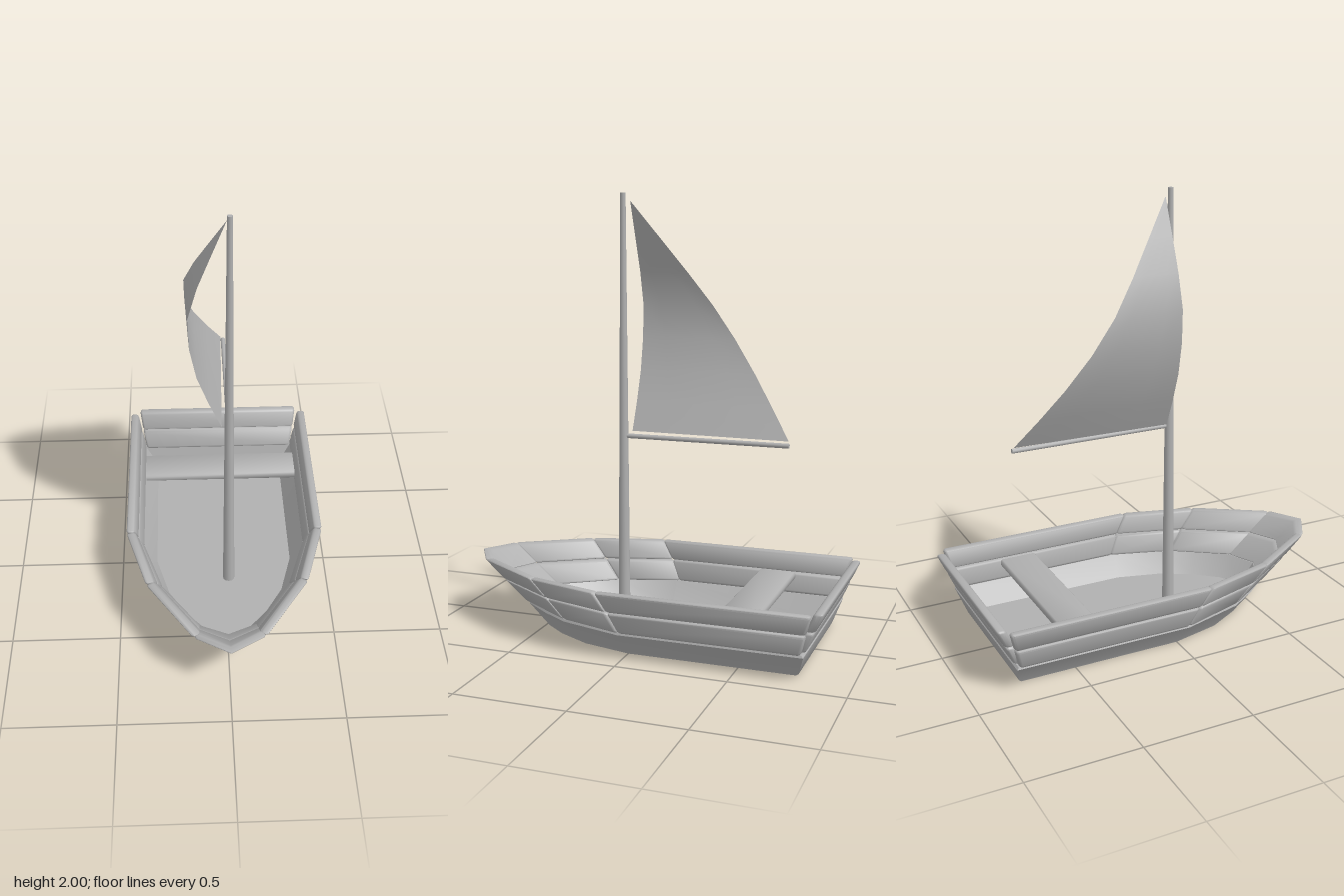
import * as THREE from 'three';
import { toCreasedNormals } from 'three/addons/utils/BufferGeometryUtils.js';

const V = (x, y, z) => new THREE.Vector3(x, y, z);
const lerp = (a, b, t) => a.clone().lerp(b, t);

// Skin a list of closed rings, cap both ends and turn all faces outward
function loft(rings, crease) {
  const tris = [];
  const n = rings[0].length;
  for (let r = 0; r < rings.length - 1; r++) {
    for (let i = 0; i < n; i++) {
      const j = (i + 1) % n;
      const [a, b, c, d] = [rings[r][i], rings[r][j], rings[r + 1][j], rings[r + 1][i]];
      tris.push([a, b, c], [a, c, d]);
    }
  }
  const cap = (ring, flip) => {
    const mid = ring.reduce((s, p) => s.add(p), V(0, 0, 0)).divideScalar(n);
    for (let i = 0; i < n; i++) {
      const a = ring[i], b = ring[(i + 1) % n];
      tris.push(flip ? [mid, b, a] : [mid, a, b]);
    }
  };
  cap(rings[0], true);
  cap(rings[rings.length - 1], false);
  const volume = tris.reduce((s, [a, b, c]) => s + a.dot(b.clone().cross(c)), 0);
  const points = tris.flatMap(([a, b, c]) => (volume < 0 ? [a, c, b] : [a, b, c]));
  return toCreasedNormals(new THREE.BufferGeometry().setFromPoints(points), crease);
}

// Rounded plank section between a lower and an upper outer point
function section({ low, high, inward }, inset) {
  const H = low.distanceTo(high), T = 0.042, r = 0.014;
  const ring = [];
  [[1, 1], [1, 0], [0, 0], [0, 1]].forEach(([top, inner], k) => {
    for (let s = 0; s < 4; s++) {
      const a = (k + s / 3) * Math.PI / 2;
      const h = (top ? H - r : r) + (r - inset) * Math.sin(a);
      const t = (inner ? T - r : r) + (r - inset) * Math.cos(a);
      ring.push(lerp(low, high, h / H).addScaledVector(inward, t));
    }
  });
  return ring;
}

// Plank through two or more stations with softened ends
function plank(stations) {
  const last = stations.length - 1;
  const along = (a, b, d) => {
    const t = d / a.low.distanceTo(b.low);
    return { low: lerp(a.low, b.low, t), high: lerp(a.high, b.high, t), inward: a.inward };
  };
  const ends = [[0.002, 0.011], [0.006, 0.004], [0.014, 0]];
  const start = ends.map(([d, inset]) => section(along(stations[0], stations[1], d), inset));
  const finish = ends.map(([d, inset]) => section(along(stations[last], stations[last - 1], d), inset)).reverse();
  const middle = stations.slice(1, last).map((s) => section(s, 0));
  return loft([...start, ...middle, ...finish], 0.8);
}

export function createModel() {
  const boat = new THREE.Group();
  boat.name = 'sailboat';
  const grey = new THREE.MeshStandardMaterial({ color: 0xb0b0b0 });
  grey.name = 'grey';
  const greySail = new THREE.MeshStandardMaterial({ color: 0xb0b0b0, side: THREE.DoubleSide });
  greySail.name = 'grey sail';
  const add = (name, geometry, material = grey) => {
    const mesh = new THREE.Mesh(geometry, material);
    mesh.name = name;
    boat.add(mesh);
    return mesh;
  };

  // Lower hull: a thin tub with outer skin, rim, inner slope and floor
  const bottom = [[0.34, -0.765], [0.34, 0], [0.285, 0.23], [0.2, 0.385], [0.11, 0.495], [0, 0.55]];
  const rim = [[0.42, -0.8], [0.42, 0.02], [0.335, 0.31], [0.25, 0.44], [0.15, 0.565], [0, 0.63]];
  const innerRim = [[0.393, -0.775], [0.393, 0.025], [0.315, 0.295], [0.235, 0.42], [0.135, 0.545], [0, 0.605]];
  const floor = [[0.33, -0.745], [0.33, 0.02], [0.272, 0.235], [0.19, 0.375], [0.1, 0.48], [0, 0.53]];
  const outline = (pts, y, s = 1) => [
    ...pts.map(([x, z]) => V(x * s, y, z * s)),
    ...pts.slice(0, -1).reverse().map(([x, z]) => V(-x * s, y, z * s)),
  ];
  add('lowerHull', loft([
    outline(bottom, 0, 0.985), outline(bottom, 0.01), outline(rim, 0.11), outline(rim, 0.12, 0.99),
    outline(innerRim, 0.12), outline(floor, 0.022),
  ], 0.6));

  // Joints between planks at three heights, from the stern corner to the bow
  const heights = [0.118, 0.215, 0.305];
  const joints = [
    [[0.43, -0.79], [0.453, -0.815], [0.471, -0.84]],
    [[0.43, 0.015], [0.455, 0.06], [0.471, 0.113]],
    [[0.337, 0.31], [0.357, 0.387], [0.373, 0.462]],
    [[0.157, 0.575], [0.16, 0.69], [0.16, 0.793]],
  ];
  const bowTip = [[0, 0.645], [0, 0.772], [0, 0.89]];
  const sternCorner = [[0.39, -0.8], [0.408, -0.842], [0.422, -0.883]];
  const names = ['sidePlank', 'shoulderPlank', 'cheekPlank'];

  for (let row = 0; row < 2; row++) {
    const station = (joint, inward, side = 1) => {
      const at = (k) => V(joint[k][0] * side, heights[k], joint[k][1]);
      const a = at(row), b = at(row + 1);
      return { low: lerp(a, b, 0.01), high: lerp(a, b, row ? 1 : 0.99), inward };
    };
    const level = row ? 'upper' : 'lower';
    for (const side of [1, -1]) {
      names.forEach((name, i) => {
        const a = joints[i][row + 1], b = joints[i + 1][row + 1];
        const inward = V((a[1] - b[1]) * side, 0, b[0] - a[0]).normalize();
        add(`${level} ${name}`, plank([station(joints[i], inward, side), station(joints[i + 1], inward, side)]));
      });
    }
    add(`${level} bowPlank`, plank([
      station(joints[3], V(-0.45, 0, -0.89)), station(bowTip, V(0, 0, -1.1)), station(joints[3], V(0.45, 0, -0.89), -1),
    ]));
    add(`${level} sternPlank`, plank([station(sternCorner, V(0, 0, 1)), station(sternCorner, V(0, 0, 1), -1)]));
  }

  // Bench across the stern, with softened edges
  const benchEnd = (x, d) => [
    [0.19, -0.575, 1, 0], [0.19, -0.575, 0, 1], [0.19, -0.4, 0, -1], [0.19, -0.4, 1, 0],
    [0.225, -0.4, -1, 0], [0.225, -0.4, 0, -1], [0.225, -0.575, 0, 1], [0.225, -0.575, -1, 0],
  ].map(([y, z, dy, dz]) => V(x, y + dy * d, z + dz * d));
  add('bench', loft([benchEnd(-0.385, 0.007), benchEnd(0.385, 0.007)], 0.9));

  // Tapered mast and boom
  const mast = add('mast', new THREE.CylinderGeometry(0.012, 0.028, 1.98, 12));
  mast.position.set(0.02, 1.01, 0.14);
  const boom = add('boom', new THREE.CylinderGeometry(0.011, 0.011, 0.77, 10));
  boom.rotation.x = Math.PI / 2;
  boom.position.set(0.02, 0.912, -0.245);

  // Billowing triangular sail: height, then sideways bulge at the mast edge and the free edge
  const belly = [
    [0.93, -0.012, 0.008], [1.06, -0.07, -0.062], [1.2, -0.122, -0.126], [1.35, -0.152, -0.168],
    [1.5, -0.157, -0.17], [1.65, -0.115, -0.123], [1.8, -0.056, -0.06], [1.965, 0.01, 0.01],
  ];
  const cols = 4;
  const sail = new THREE.PlaneGeometry(1, 1, cols, belly.length - 1);
  const pos = sail.attributes.position;
  for (let i = 0; i < pos.count; i++) {
    const [y, luff, leech] = belly[Math.floor(i / (cols + 1))];
    const t = (i % (cols + 1)) / cols;
    const width = 0.735 * (1.965 - y) / 1.035;
    pos.setXYZ(i, luff + (leech - luff) * t, y, 0.11 - width * t);
  }
  sail.computeVertexNormals();
  add('sail', sail, greySail);

  return boat;
}
